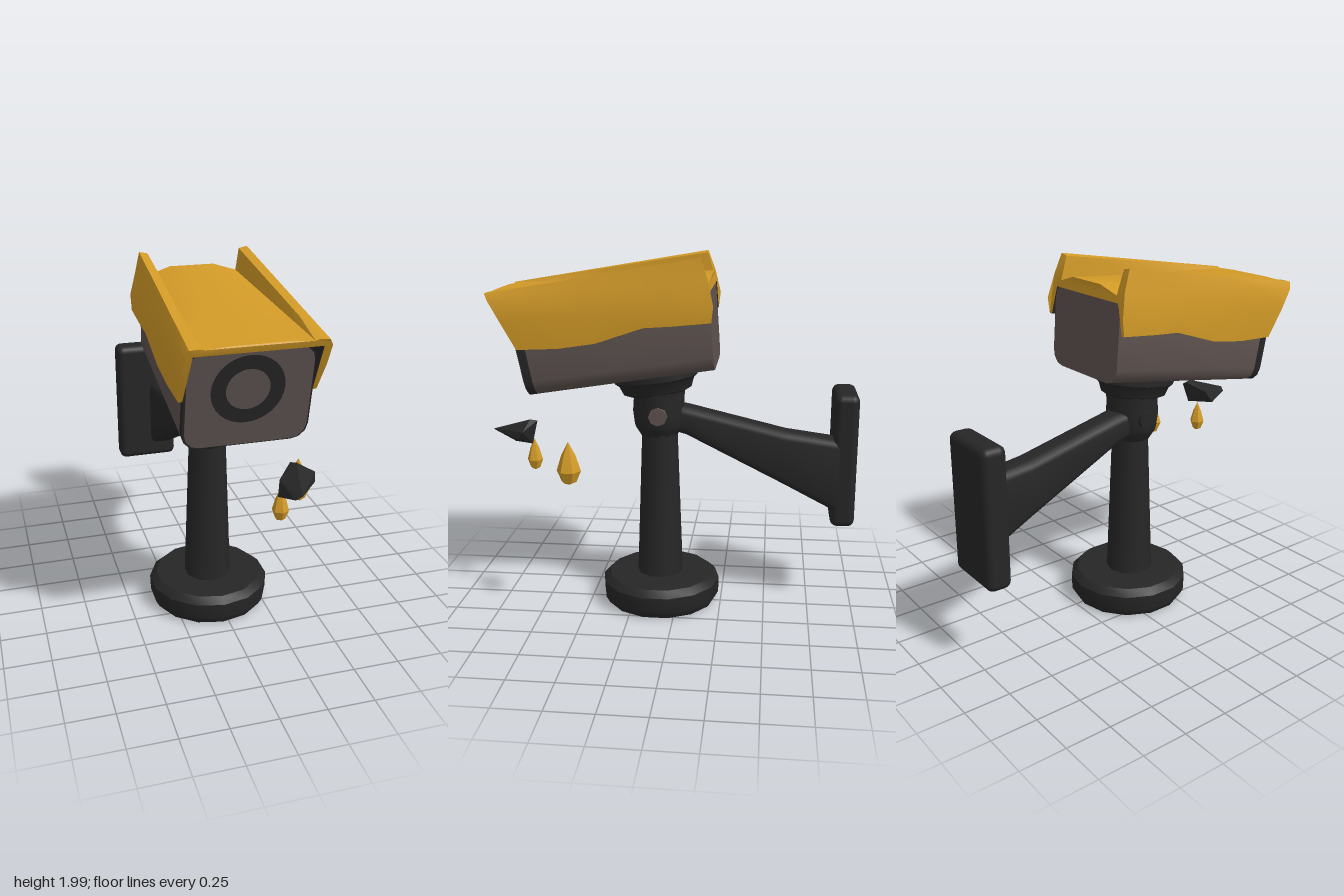
import * as THREE from 'three';
import { toCreasedNormals } from 'three/addons/utils/BufferGeometryUtils.js';
import { ConvexGeometry } from 'three/addons/geometries/ConvexGeometry.js';
import { RoundedBoxGeometry } from 'three/addons/geometries/RoundedBoxGeometry.js';

const CX = -0.045; // centre line of the camera housing
const lerp = THREE.MathUtils.lerp;

const material = (name, color) => {
  const m = new THREE.MeshStandardMaterial({ color });
  m.name = name;
  return m;
};

// Skin closed rings (counter-clockwise from +z, ordered front to back) and cap both ends.
// Sides from ring index innerFrom onward go to the second material group.
function loft(rings, innerFrom = Infinity, crease = 0.6) {
  const n = rings[0].length;
  const outer = [], inner = [];
  for (let i = 0; i < rings.length - 1; i++) {
    for (let j = 0; j < n; j++) {
      const k = (j + 1) % n, a = i * n, b = a + n;
      (j >= innerFrom && j < n - 1 ? inner : outer).push(a + j, b + j, a + k, a + k, b + j, b + k);
    }
  }
  const cap = (ring) => THREE.ShapeUtils.triangulateShape(ring.map((p) => new THREE.Vector2(p.x, p.y)), []);
  const last = (rings.length - 1) * n;
  cap(rings[0]).forEach(([a, b, c]) => outer.push(a, b, c));
  cap(rings[rings.length - 1]).forEach(([a, b, c]) => outer.push(last + a, last + c, last + b));
  const g = new THREE.BufferGeometry().setFromPoints(rings.flat());
  g.setIndex([...outer, ...inner]);
  if (inner.length) {
    g.addGroup(0, outer.length, 0);
    g.addGroup(outer.length, inner.length, 1);
  }
  return toCreasedNormals(g, crease);
}

// Rounded rectangle ring; depth is a function of height
function roundRing(cx, hw, y0, y1, r, zAt) {
  const ring = [];
  const corners = [[1, 1], [-1, 1], [-1, -1], [1, -1]];
  corners.forEach(([sx, sy], q) => {
    for (let k = 0; k <= 3; k++) {
      const a = (q + k / 3) * Math.PI / 2;
      const x = cx + sx * (hw - r) + Math.cos(a) * r;
      const y = (sy > 0 ? y1 - r : y0 + r) + Math.sin(a) * r;
      ring.push(new THREE.Vector3(x, y, zAt(y)));
    }
  });
  return ring;
}

const lathe = (pts, seg, crease = 0.6) =>
  toCreasedNormals(new THREE.LatheGeometry(pts.map(([x, y]) => new THREE.Vector2(x, y)), seg), crease);

// Housing section: t = 0 at the leaning front face, 1 at the back
const frontZ = (y) => 0.775 + (y - 1.25) * 0.2;
const backZ = (y) => -0.215 + (y - 1.4) * 0.07;
const housingRing = (t) => roundRing(CX, lerp(0.31, 0.285, t), lerp(1.25, 1.4, t), lerp(1.75, 1.84, t), 0.08,
  (y) => lerp(frontZ(y), backZ(y), t));

// Sun shield section: each point runs along its own path [half width, y, z] front to back
const shieldPaths = [
  [[0.345, 1.66, 0.9], [0.335, 1.75, -0.21]],
  [[0.342, 1.765, 0.96], [0.31, 1.88, -0.18]],
  [[0.32, 1.8, 0.98], [0.295, 1.99, -0.14]],
  [[0.27, 1.803, 0.98], [0.25, 1.98, -0.14]],
  [[0.25, 1.797, 0.98], [0.245, 1.855, -0.18]],
  [[0.13, 1.803, 0.975], [0.12, 1.893, -0.19]],
];
const innerPath = [[0.3, 1.765, 0.965], [0.27, 1.82, -0.19]];
const lowerEdge = [[0, 1.51], [0.216, 1.52], [0.41, 1.55], [0.657, 1.635], [0.8, 1.645], [1, 1.665]];

function shieldRing([t, edgeY]) {
  const at = (path, s) => new THREE.Vector3(
    CX + s * lerp(path[0][0], path[1][0], t), lerp(path[0][1], path[1][1], t), lerp(path[0][2], path[1][2], t));
  const edge = (d, s) => new THREE.Vector3(CX + s * d, edgeY, lerp(0.82, -0.2, t));
  return [
    edge(0.332, 1), ...shieldPaths.map((p) => at(p, 1)),
    ...[...shieldPaths].reverse().map((p) => at(p, -1)), edge(0.332, -1),
    edge(0.312, -1), at(innerPath, -1), at(innerPath, 1), edge(0.312, 1),
  ];
}

export function createModel() {
  const yellow = material('amber yellow', 0xd29a27);
  const grey = material('warm grey', 0x5e5350);
  const dark = material('charcoal', 0x262626);
  const model = new THREE.Group();
  model.name = 'securityCamera';
  const add = (name, geometry, mat, x = 0, y = 0, z = 0) => {
    const mesh = new THREE.Mesh(geometry, mat);
    mesh.name = name;
    mesh.position.set(x, y, z);
    model.add(mesh);
    return mesh;
  };

  // Housing, dark front rim and face plate
  add('housing', loft([0.045, 0.5, 1].map(housingRing)), grey);
  add('frontRim', loft([0, 0.045].map(housingRing)), dark);
  const faceRing = (d) => roundRing(CX, 0.3, 1.257, 1.745, 0.075, (y) => frontZ(y) + d);
  add('facePlate', loft([faceRing(0.006), faceRing(-0.002)]), grey);
  const lens = add('lensRing', new THREE.RingGeometry(0.106, 0.178, 32), dark, -0.055, 1.55, frontZ(1.55) + 0.011);
  lens.rotation.x = Math.atan(0.2);

  // Sun shield with raised side fins and dark lining
  add('sunShield', loft(lowerEdge.map(shieldRing), 14), [yellow, dark]);

  // Mounting collar and swivel joint
  const collar = add('collar', lathe([[0, -0.09], [0.15, -0.09], [0.195, -0.07], [0.215, -0.02], [0.238, 0], [0.238, 0.06], [0, 0.06]], 14),
    dark, -0.05, 1.31, 0.13);
  collar.rotation.x = 0.13;
  collar.scale.x = 0.8;
  add('swivelJoint', lathe([[0, 0.98], [0.1, 0.98], [0.138, 1.04], [0.148, 1.12], [0.142, 1.2], [0.15, 1.27], [0, 1.27]], 12),
    dark, -0.05, 0, 0.11);
  for (const [name, x, mat] of [['leftPivot', 0.085, grey], ['rightPivot', -0.18, dark]]) {
    const pivot = add(name, new THREE.CylinderGeometry(0.05, 0.05, 0.05, 8), mat, x, 1.12, 0.1);
    pivot.rotation.z = Math.PI / 2;
    pivot.scale.z = 1.05;
  }

  // Post and round foot
  add('post', toCreasedNormals(new THREE.CylinderGeometry(0.1, 0.132, 0.88, 10), 0.8), dark, -0.04, 0.59, 0.105);
  add('foot', lathe([[0, 0], [0.315, 0.005], [0.335, 0.04], [0.338, 0.13], [0.3, 0.165], [0, 0.172]], 14), dark, -0.035, 0, 0.1);

  // Flaring wall arm and wall plate
  const armStations = [[0.05, 1.02, 1.17], [-0.05, 0.99, 1.155], [-0.6, 0.715, 1.025], [-0.9, 0.56, 0.985]];
  add('wallArm', loft(armStations.map(([z, y0, y1]) => roundRing(-0.07, 0.08, y0, y1, 0.045, () => z))), dark);
  add('wallPlate', new RoundedBoxGeometry(0.36, 0.76, 0.135, 3, 0.04), dark, -0.17, 0.86, -0.93);

  // Loose dark chip and two drops floating beside the post
  const chip = [
    [0.17, 1.05, 1.0], [0.14, 1.03, 0.99], [0.1, 0.99, 0.86], [0.12, 1.06, 0.82], [0.22, 1.12, 0.78],
    [0.2, 1.11, 0.745], [0.31, 1.07, 0.8], [0.3, 1.03, 0.83], [0.22, 0.985, 0.77], [0.16, 0.98, 0.88],
  ].map((p) => new THREE.Vector3(...p));
  add('chip', new ConvexGeometry(chip), dark);
  const drop = (r, h) => lathe([[0, 0], [r * 0.6, h * 0.07], [r, h * 0.33], [r * 0.6, h * 0.68], [0, h]], 6, 0.3);
  add('largeDrop', drop(0.066, 0.24), yellow, 0.322, 0.79, 0.552);
  add('smallDrop', drop(0.043, 0.18), yellow, 0.145, 0.815, 0.78);

  return model;
}
